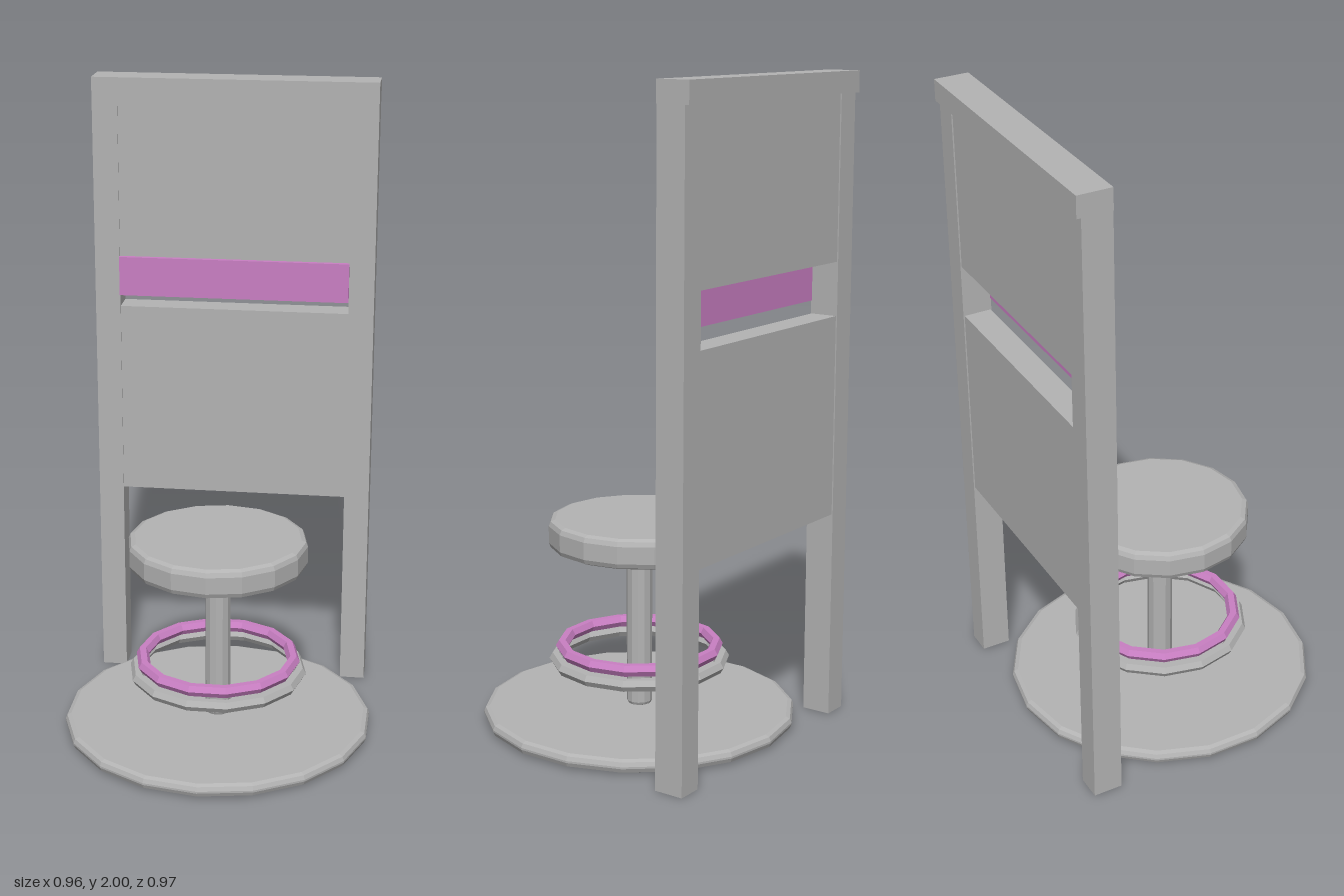
import * as THREE from 'three';

export function createModel() {
  const model = new THREE.Group();
  const grey = new THREE.MeshStandardMaterial({ color: 0xb3b3b3 });
  grey.name = 'grey metal';
  const pink = new THREE.MeshStandardMaterial({ color: 0xc97fc3 });
  pink.name = 'pink accent';

  // Adds a faceted mesh: every face keeps its own flat normal
  function add(name, geometry, material, parent = model) {
    const flat = geometry.index ? geometry.toNonIndexed() : geometry;
    flat.computeVertexNormals();
    const mesh = new THREE.Mesh(flat, material);
    mesh.name = name;
    parent.add(mesh);
    return mesh;
  }

  // Box given by its two opposite corners
  function box(name, [x0, y0, z0], [x1, y1, z1], material, parent) {
    const geometry = new THREE.BoxGeometry(x1 - x0, y1 - y0, z1 - z0);
    geometry.translate((x0 + x1) / 2, (y0 + y1) / 2, (z0 + z1) / 2);
    return add(name, geometry, material, parent);
  }

  // Disc or rod with a softened rim
  function roundedDisc(name, radius, y0, y1, bevel, sides, parent) {
    const b = bevel, s = bevel * 0.3;
    const profile = [
      [0, y0], [radius - b, y0], [radius - s, y0 + s], [radius, y0 + b],
      [radius, y1 - b], [radius - s, y1 - s], [radius - b, y1], [0, y1],
    ].map(([x, y]) => new THREE.Vector2(x, y));
    return add(name, new THREE.LatheGeometry(profile, sides), grey, parent);
  }

  // Stool: floor plate, column, seat and two foot rings
  const stool = new THREE.Group();
  stool.name = 'stool';
  model.add(stool);
  roundedDisc('floorPlate', 0.487, 0.005, 0.047, 0.018, 18, stool);
  roundedDisc('column', 0.04, 0.045, 0.56, 0.012, 12, stool);
  roundedDisc('seat', 0.281, 0.557, 0.65, 0.02, 16, stool);

  function ring(name, outer, tube, y, material) {
    const geometry = new THREE.TorusGeometry(outer - tube, tube, 6, 14);
    geometry.rotateX(Math.PI / 2);
    geometry.translate(0, y, 0);
    add(name, geometry, material, stool);
  }
  ring('lowerFootRing', 0.281, 0.02, 0.196, grey);
  ring('upperFootRing', 0.261, 0.02, 0.236, pink);

  // Backboard: posts, top rail and two panels with a slot between them
  const backboard = new THREE.Group();
  backboard.name = 'backboard';
  model.add(backboard);
  for (const side of [-1, 1]) {
    const edges = [side * 0.365, side * 0.445].sort((a, b) => a - b);
    box(side > 0 ? 'leftPost' : 'rightPost',
      [edges[0], 0, -0.472], [edges[1], 1.935, -0.38], grey, backboard);
  }
  box('topRail', [-0.445, 1.935, -0.485], [0.445, 2, -0.379], grey, backboard);
  box('upperPanel', [-0.365, 1.435, -0.468], [0.365, 1.935, -0.383], grey, backboard);
  box('lowerPanel', [-0.365, 0.65, -0.468], [0.365, 1.27, -0.383], grey, backboard);
  box('accentStrip', [-0.365, 1.31, -0.383], [0.365, 1.435, -0.367], pink, backboard);

  return model;
}
